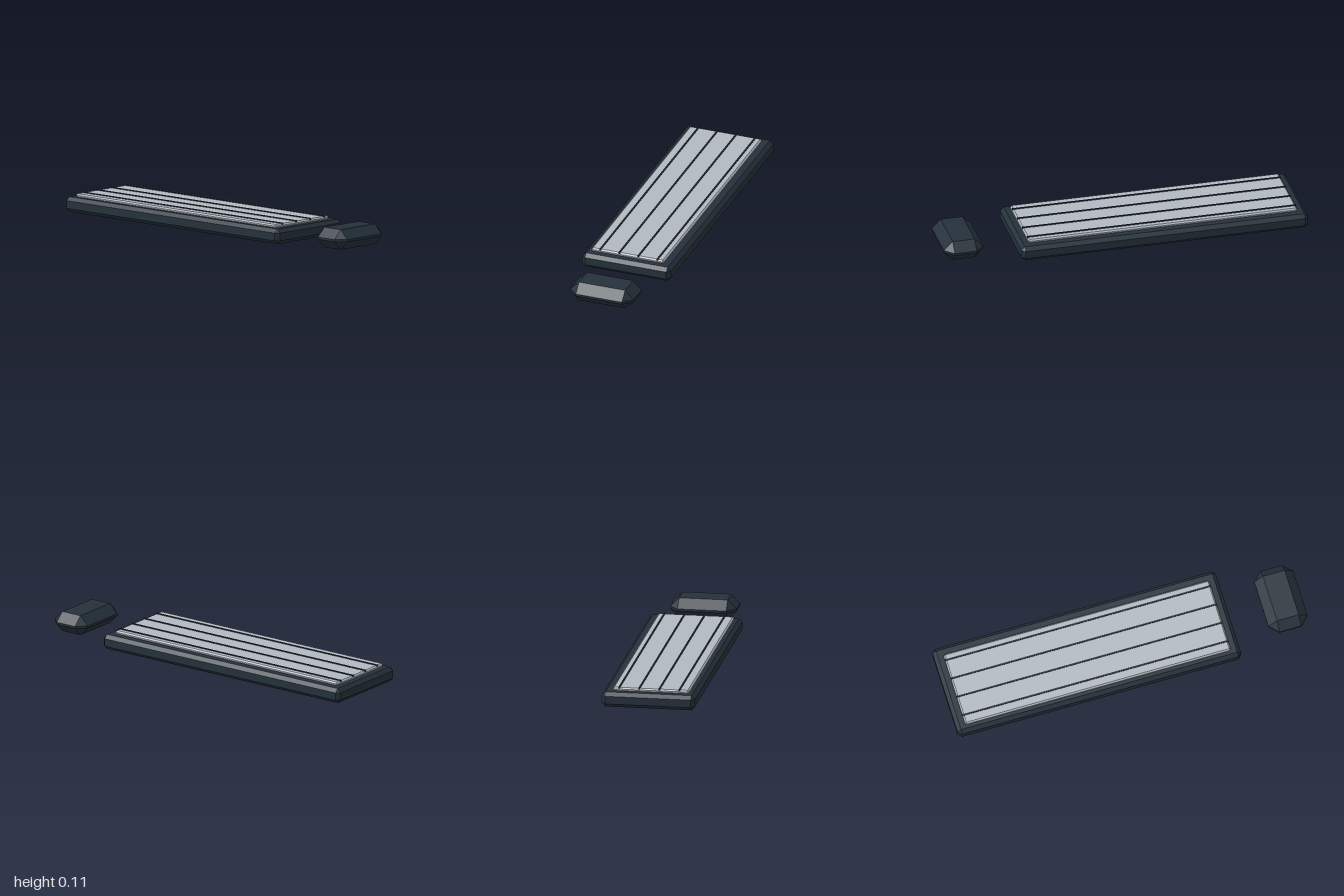
import * as THREE from 'three';
import { ConvexGeometry } from 'three/addons/geometries/ConvexGeometry.js';

// Box between two corners, all edges chamfered by c
function chamferBox(min, max, c) {
  const points = [];
  const corner = (i, axis, inset) => (i ? max[axis] - inset : min[axis] + inset);
  for (const x of [0, 1]) for (const y of [0, 1]) for (const z of [0, 1]) {
    for (let outer = 0; outer < 3; outer++) {
      const inset = [c, c, c];
      inset[outer] = 0;
      points.push(new THREE.Vector3(
        corner(x, 0, inset[0]), corner(y, 1, inset[1]), corner(z, 2, inset[2])));
    }
  }
  return new ConvexGeometry(points);
}

export function createModel() {
  const group = new THREE.Group();
  group.name = 'keyboardAndMouse';

  const dark = new THREE.MeshStandardMaterial({ color: 0x25313b, flatShading: true });
  dark.name = 'darkSlate';
  const grey = new THREE.MeshStandardMaterial({ color: 0xb2b9c1, flatShading: true });
  grey.name = 'keyGrey';

  const add = (name, geometry, material) => {
    const mesh = new THREE.Mesh(geometry, material);
    mesh.name = name;
    group.add(mesh);
    return mesh;
  };

  // Keyboard body and raised key panel
  add('keyboardBase', chamferBox([-1, 0, -0.255], [0.595, 0.082, 0.255], 0.02), dark);
  add('keyPanel', chamferBox([-0.95, 0.077, -0.201], [0.545, 0.1, 0.217], 0.008), grey);

  // Thin dark dividers between key rows
  for (let i = 0; i < 4; i++) {
    const strip = add('rowDivider' + (i + 1), new THREE.BoxGeometry(1.495, 0.01, 0.008), dark);
    strip.position.set(-0.2025, 0.1, -0.164 + i * 0.1095);
  }

  // Mouse
  add('mouse', chamferBox([0.78, 0, -0.182], [1, 0.11, 0.182], 0.049), dark);

  return group;
}
